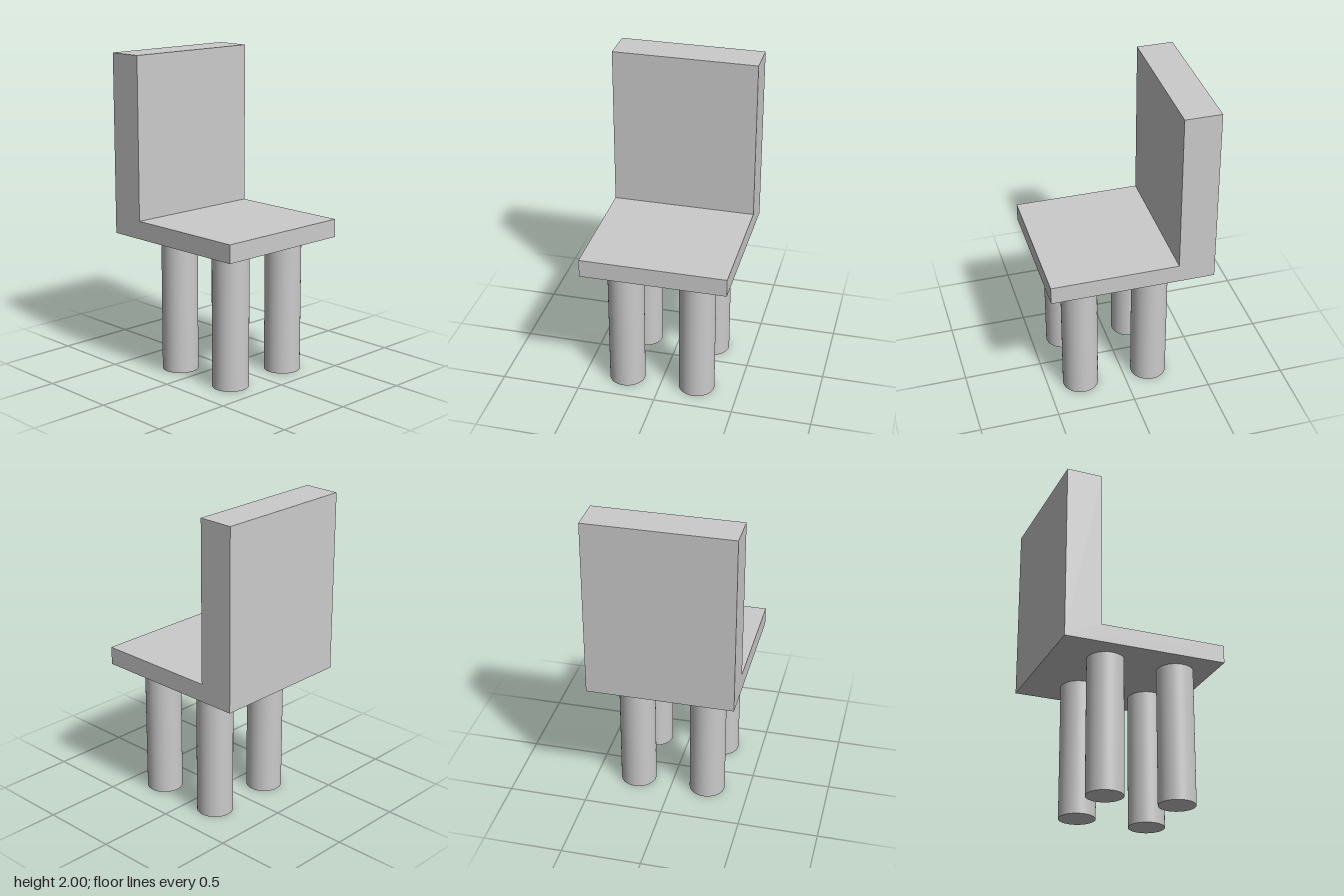
import * as THREE from 'three';

export function createModel() {
  const group = new THREE.Group();
  const material = new THREE.MeshStandardMaterial({ color: 0xcccccc });

  const width = 0.914;
  const seatBottom = 0.863;
  const legRadius = 0.114;

  // Seat and backrest: one L-shaped side profile (z, y) extruded across the width
  const profile = new THREE.Shape([
    [-0.514, seatBottom], [0.514, seatBottom], [0.514, 0.977],
    [-0.286, 0.977], [-0.286, 2], [-0.514, 2],
  ].map(([z, y]) => new THREE.Vector2(z, y)));
  const seatGeometry = new THREE.ExtrudeGeometry(profile, { depth: width, bevelEnabled: false });
  seatGeometry.translate(0, 0, -width / 2).rotateY(-Math.PI / 2);
  const seat = new THREE.Mesh(seatGeometry, material);
  seat.name = 'seatAndBackrest';
  group.add(seat);

  // Four round legs, set slightly forward under the seat
  const legGeometry = new THREE.CylinderGeometry(legRadius, legRadius, seatBottom, 48);
  for (const [end, z] of [['front', 0.286], ['back', -0.171]]) {
    for (const [side, x] of [['Left', 0.229], ['Right', -0.229]]) {
      const leg = new THREE.Mesh(legGeometry, material);
      leg.name = `${end}${side}Leg`;
      leg.position.set(x, seatBottom / 2, z);
      group.add(leg);
    }
  }

  return group;
}
